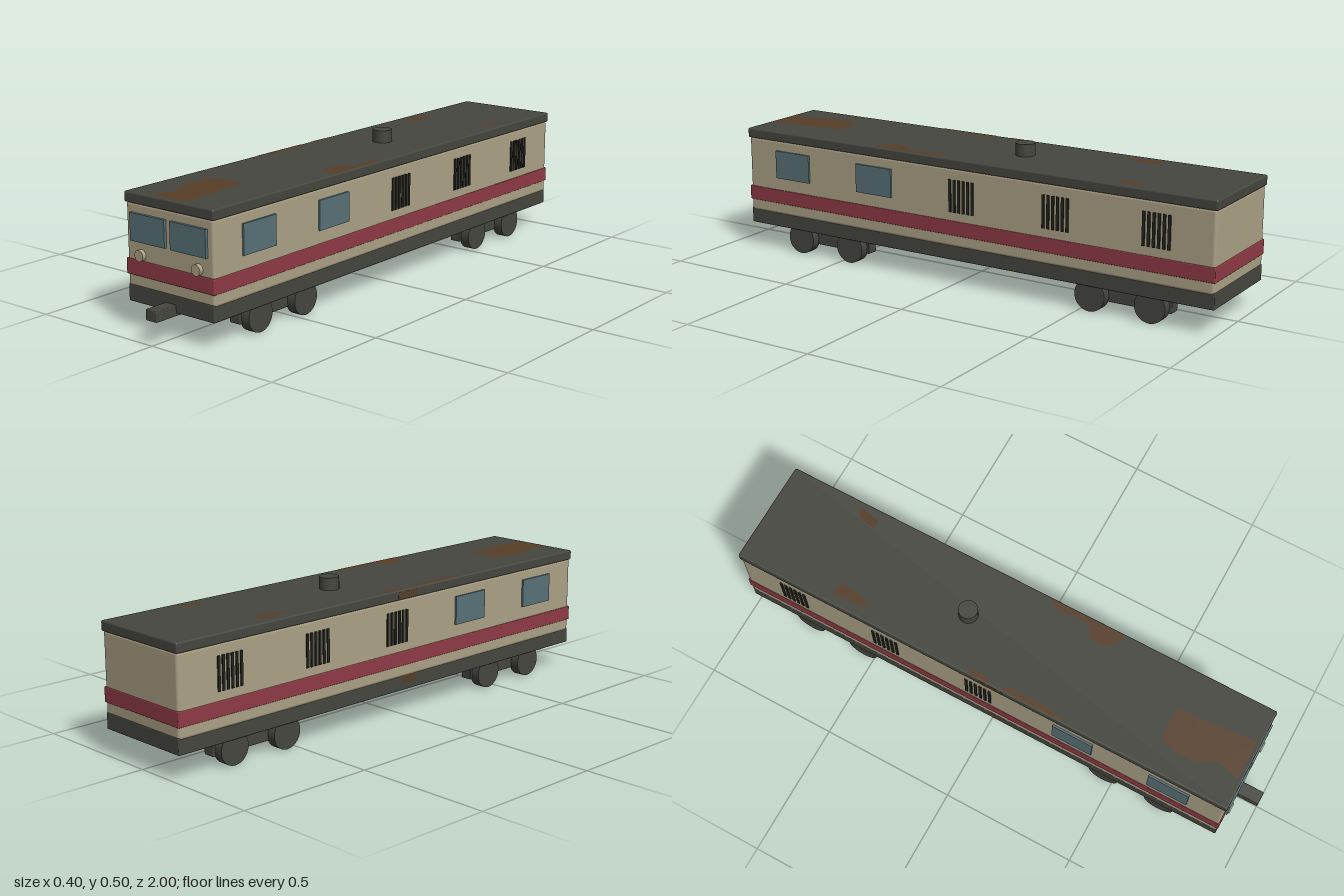
import * as THREE from 'three';
import { RoundedBoxGeometry } from 'three/addons/geometries/RoundedBoxGeometry.js';

const mat = (name, color) => {
  const m = new THREE.MeshStandardMaterial({ color });
  m.name = name;
  return m;
};

export function createModel() {
  const cream = mat('cream paint', 0xaba185);
  const dark = mat('dark metal', 0x45463f);
  const red = mat('red stripe', 0x8f3a45);
  const glass = mat('window glass', 0x587177);
  const black = mat('vent black', 0x24241f);
  const rust = mat('rust', 0x563e28);
  const model = new THREE.Group();
  model.name = 'railcar';

  const add = (name, geometry, material, x = 0, y = 0, z = 0) => {
    const mesh = new THREE.Mesh(geometry, material);
    mesh.name = name;
    mesh.position.set(x, y, z);
    model.add(mesh);
    return mesh;
  };
  // Box given by its limits on each axis, with optional rounded edges
  const box = (name, material, [x0, x1], [y0, y1], [z0, z1], radius = 0) => {
    const size = [x1 - x0, y1 - y0, z1 - z0];
    const geometry = radius ? new RoundedBoxGeometry(...size, 2, radius) : new THREE.BoxGeometry(...size);
    return add(name, geometry, material, (x0 + x1) / 2, (y0 + y1) / 2, (z0 + z1) / 2);
  };
  // Box limits mirrored to side s
  const side = (s, a, b) => (s > 0 ? [a, b] : [-b, -a]);

  // Body shell
  box('chassis', dark, [-0.188, 0.188], [0.091, 0.148], [-0.997, 0.913], 0.003);
  box('body', cream, [-0.191, 0.191], [0.14, 0.424], [-0.996, 0.911], 0.011);
  box('stripe', red, [-0.193, 0.193], [0.182, 0.235], [-0.999, 0.915], 0.003);
  box('roof', dark, [-0.195, 0.195], [0.42, 0.456], [-1, 0.915], 0.006);
  add('chimney', new THREE.CylinderGeometry(0.035, 0.035, 0.05, 24), dark, 0, 0.475, -0.18);
  box('coupler', dark, [-0.024, 0.024], [0.081, 0.118], [0.88, 1], 0.003);

  for (const s of [1, -1]) {
    // Cab front
    box('windscreen', glass, side(s, 0.012, 0.166), [0.298, 0.391], [0.908, 0.921]);
    const lamp = add('headlight', new THREE.CylinderGeometry(0.019, 0.019, 0.025, 24), cream, s * 0.125, 0.254, 0.913);
    lamp.rotation.x = Math.PI / 2;

    // Side windows and slatted vents
    for (const z of [0.705, 0.335]) {
      box('sideWindow', glass, side(s, 0.189, 0.198), [0.281, 0.385], [z - 0.077, z + 0.077]);
    }
    for (const z of [-0.038, -0.413, -0.788]) {
      for (let i = 0; i < 6; i++) {
        const c = z + (i - 2.5) * 0.0185;
        box('ventSlat', black, side(s, 0.188, 0.195), [0.266, 0.383], [c - 0.005, c + 0.005]);
      }
    }

    // Bogie beams and wheels
    for (const z of [0.575, -0.652]) {
      box('bogieFrame', dark, side(s, 0.102, 0.146), [0.035, 0.095], [z - 0.177, z + 0.177], 0.003);
      for (const dz of [0.112, -0.112]) {
        const wheel = add('wheel', new THREE.CylinderGeometry(0.057, 0.057, 0.038, 28), dark, s * 0.159, 0.057, z + dz);
        wheel.rotation.z = Math.PI / 2;
      }
    }
  }

  // Flat rust patches, outlined in (x, z), lying on the roof or under the chassis
  const patch = (name, points, y, under = false) => {
    const shape = new THREE.Shape(points.map(([x, z]) => new THREE.Vector2(x, under ? z : -z)));
    add(name, new THREE.ShapeGeometry(shape), rust, 0, y, 0).rotation.x = under ? Math.PI / 2 : -Math.PI / 2;
  };
  [
    [[-0.08, 0.61], [0.04, 0.61], [0.047, 0.7], [0.065, 0.9], [-0.085, 0.9], [-0.062, 0.82], [-0.1, 0.74], [-0.098, 0.66]],
    [[0.189, 0.04], [0.16, 0.08], [0.17, 0.2], [0.122, 0.23], [0.117, 0.29], [0.16, 0.33], [0.189, 0.33]],
    [[-0.19, -0.08], [-0.165, -0.07], [-0.172, 0], [-0.19, 0]],
    [[-0.19, 0.05], [-0.17, 0.06], [-0.165, 0.21], [-0.18, 0.29], [-0.19, 0.29]],
    [[-0.158, -0.635], [-0.11, -0.625], [-0.122, -0.54], [-0.148, -0.495], [-0.155, -0.55]],
    [[0.137, -0.7], [0.175, -0.715], [0.155, -0.635], [0.122, -0.63]],
  ].forEach((p) => patch('roofRust', p, 0.457));
  [
    [[0.09, -0.96], [0.15, -0.96], [0.15, -0.9], [0.1, -0.89]],
    [[0.1, -0.34], [0.15, -0.34], [0.16, -0.12], [0.13, -0.1], [0.11, -0.2]],
  ].forEach((p) => patch('chassisRust', p, 0.0905, true));

  // Rust on the right-hand roof and chassis edges
  box('roofEdgeRust', rust, [-0.1956, -0.19], [0.427, 0.45], [-0.035, 0.06]);
  box('chassisEdgeRust', rust, [-0.1886, -0.183], [0.116, 0.146], [-0.005, 0.055]);

  return model;
}
